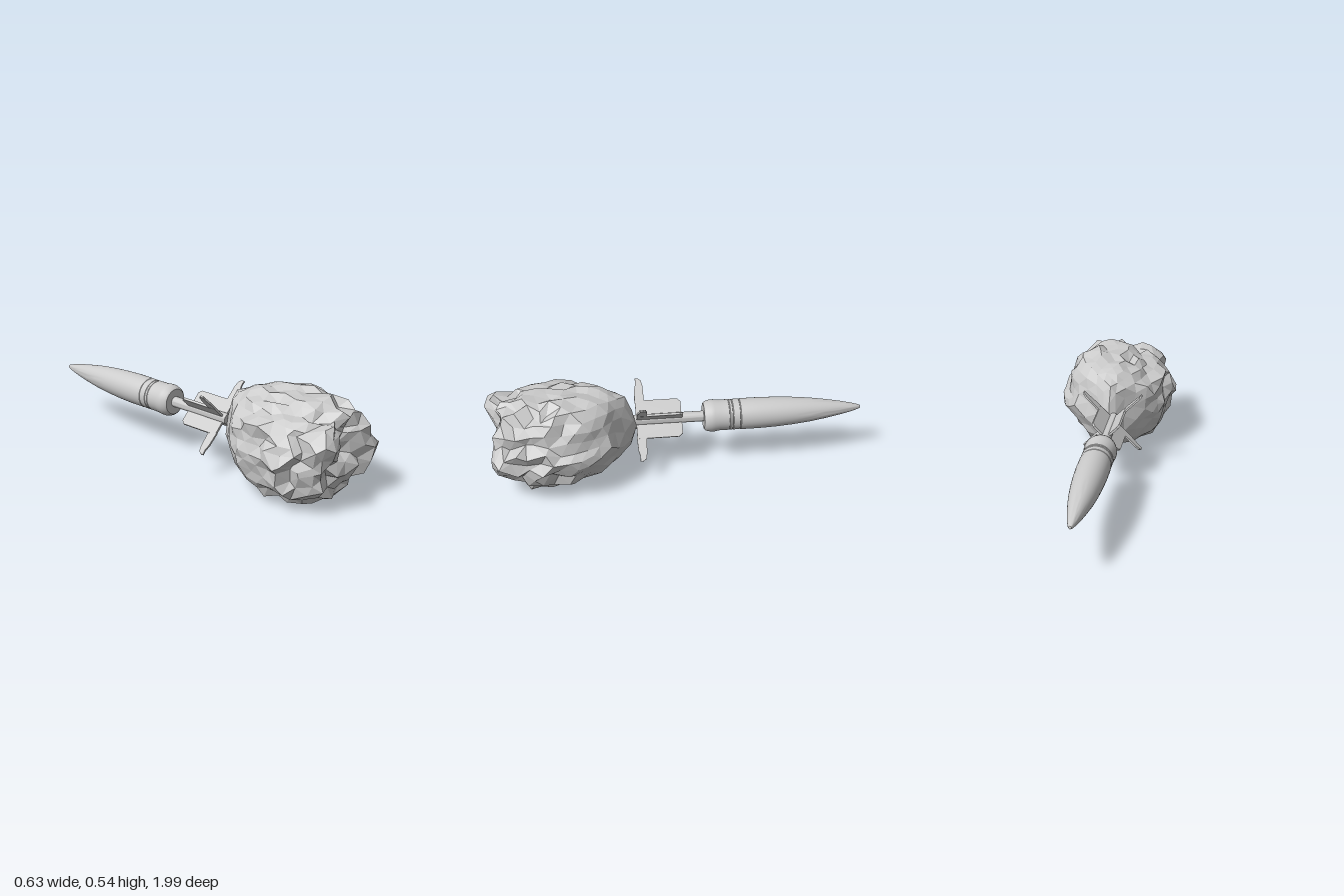
import * as THREE from 'three';
import { toCreasedNormals } from 'three/addons/utils/BufferGeometryUtils.js';

const AXIS_X = -0.043, AXIS_Y = 0.303;
const grey = () => new THREE.MeshStandardMaterial({ color: 0xcccccc });

function addMesh(parent, name, geometry, material = grey()) {
  const mesh = new THREE.Mesh(geometry, material);
  mesh.name = name;
  parent.add(mesh);
  return mesh;
}

// Lathe around the flight axis; profile entries are [radius, z], tail to nose
function turned(profile) {
  const pts = profile.map(([r, z]) => new THREE.Vector2(r, -z));
  const geo = new THREE.LatheGeometry(pts, 40).rotateX(-Math.PI / 2);
  return toCreasedNormals(geo, 0.6);
}

// Flat plate in the radius/length plane, centred on its thickness
function plate(points, thickness) {
  const shape = new THREE.Shape(points.map(([r, z]) => new THREE.Vector2(r, z)));
  const geo = new THREE.ExtrudeGeometry(shape, { depth: thickness, bevelEnabled: false });
  return geo.translate(0, 0, -thickness / 2).rotateX(Math.PI / 2);
}

// Repeatable value in -1..1 for a direction
function hash(d, seed) {
  const q = (v) => Math.round(v * 1000);
  const s = Math.sin(q(d.x) * 12.9898 + q(d.y) * 78.233 + q(d.z) * 37.719 + seed) * 43758.5453;
  return (s - Math.floor(s)) * 2 - 1;
}

// Interpolated row of a table whose first column is the key
function sample(table, key) {
  let k = 1;
  while (k < table.length - 1 && table[k][0] < key) k++;
  const a = table[k - 1], b = table[k], f = (key - a[0]) / (b[0] - a[0]);
  return a.map((v, i) => THREE.MathUtils.lerp(v, b[i], f));
}

// Cloud sections from front to tail: [polar fraction, z, xMin, xMax, yMin, yMax]
const SECTIONS = [
  [0, 0.91, 0, 0, 0.31, 0.31],
  [0.12, 0.93, -0.14, 0.14, 0.21, 0.42],
  [0.25, 0.89, -0.23, 0.24, 0.11, 0.49],
  [0.38, 0.78, -0.28, 0.27, 0.025, 0.525],
  [0.5, 0.65, -0.29, 0.285, 0.02, 0.54],
  [0.62, 0.5, -0.275, 0.28, 0.035, 0.54],
  [0.75, 0.37, -0.215, 0.2, 0.08, 0.52],
  [0.87, 0.275, -0.1, 0.07, 0.125, 0.475],
  [0.94, 0.22, -0.05, 0.01, 0.165, 0.38],
  [1, 0.2, -0.02, -0.02, 0.28, 0.28],
];

// Uneven rim of the cloud: [angle in degrees, radius factor]
const RIM = [
  [-180, 1.04], [-151, 0.98], [-130, 1.07], [-113, 1.02], [-90, 1.01], [-72, 1.05], [-42, 0.97],
  [-24, 0.98], [-8, 1.05], [22, 0.97], [33, 1.05], [55, 1.07], [80, 1.02], [112, 0.9], [132, 0.98],
  [155, 1.1], [164, 0.96], [180, 1.04],
];

// Spikes and a notch at the front: [x, y, z direction, push]
const LUMPS = [[-0.4, 0.2, 0.9, 0.06], [0.65, -0.1, 0.75, 0.055], [0.1, 0.3, 0.95, -0.03]];

function cloudGeometry() {
  const geo = new THREE.IcosahedronGeometry(1, 5);
  const pos = geo.attributes.position, d = new THREE.Vector3();
  const lumps = LUMPS.map(([x, y, z, push]) => [new THREE.Vector3(x, y, z).normalize(), push]);
  for (let i = 0; i < pos.count; i++) {
    d.fromBufferAttribute(pos, i).normalize();
    const theta = Math.acos(THREE.MathUtils.clamp(d.z, -1, 1));
    const [, z, x0, x1, y0, y1] = sample(SECTIONS, theta / Math.PI);
    const side = Math.hypot(d.x, d.y) || 1;
    const rim = sample(RIM, THREE.MathUtils.radToDeg(Math.atan2(d.y, d.x)))[1];
    const grow = 1 + (rim - 1) * Math.sin(theta);

    // Broad folds, crumpled vertices and lumps, calmer toward the tail
    const calm = 0.3 + 0.7 * THREE.MathUtils.smoothstep(d.z, -0.8, 0.4);
    let push = 0.01 * Math.sin(7 * d.x + 4 * d.y + 1) * Math.cos(6 * d.y - 5 * d.z);
    push += 0.026 * calm * hash(d, 1);
    for (const [dir, amount] of lumps) push += amount * Math.exp(-(1 - d.dot(dir)) * 18);
    const jitter = 0.018 * calm;
    pos.setXYZ(i,
      (x0 + x1) / 2 + d.x / side * grow * (x1 - x0) / 2 + d.x * push + jitter * hash(d, 2),
      Math.max(0, (y0 + y1) / 2 + d.y / side * grow * (y1 - y0) / 2 + d.y * push + jitter * hash(d, 3)),
      THREE.MathUtils.clamp(z + d.z * push + jitter * hash(d, 4), 0.19, 1));
  }
  geo.computeVertexNormals();
  return geo;
}

export function createModel() {
  const model = new THREE.Group();
  model.name = 'rocketWithSmoke';
  const rocket = new THREE.Group();
  rocket.name = 'rocket';
  rocket.position.set(AXIS_X, AXIS_Y, 0);
  model.add(rocket);

  // Warhead with a bevelled base, three grooves and a rounded tip
  const grooves = [-0.288, -0.305, -0.345].flatMap((z) => [
    [0.081, z + 0.003], [0.079, z + 0.001], [0.079, z - 0.001], [0.081, z - 0.003],
  ]);
  addMesh(rocket, 'warhead', turned([
    [0, -0.155], [0.068, -0.155], [0.078, -0.165], [0.085, -0.19], [0.085, -0.21], [0.081, -0.235],
    ...grooves,
    [0.082, -0.36], [0.082, -0.45], [0.079, -0.54], [0.073, -0.63], [0.064, -0.72], [0.052, -0.8],
    [0.038, -0.88], [0.024, -0.945], [0.013, -0.985], [0.008, -0.996], [0, -1],
  ]));

  // Tail rod
  addMesh(rocket, 'tailRod', turned([[0, 0.22], [0.028, 0.22], [0.028, -0.16], [0, -0.16]]));

  // Four diagonal fins, each with a narrow swept blade at the rear
  for (let i = 0; i < 4; i++) {
    const fin = new THREE.Group();
    fin.name = 'fin';
    fin.rotation.z = (i + 0.5) * Math.PI / 2;
    addMesh(fin, 'finPanel', plate(
      [[0.015, -0.04], [0.085, -0.04], [0.102, -0.022], [0.102, 0.2], [0.015, 0.2]], 0.012));
    addMesh(fin, 'finBlade', plate(
      [[0.09, 0.152], [0.18, 0.154], [0.21, 0.161], [0.222, 0.176], [0.222, 0.192],
        [0.195, 0.191], [0.165, 0.199], [0.09, 0.203]], 0.01));
    rocket.add(fin);
  }

  // Crumpled smoke cloud
  const smoke = grey();
  smoke.flatShading = true;
  smoke.side = THREE.DoubleSide;
  addMesh(model, 'smokeCloud', cloudGeometry(), smoke);
  return model;
}
